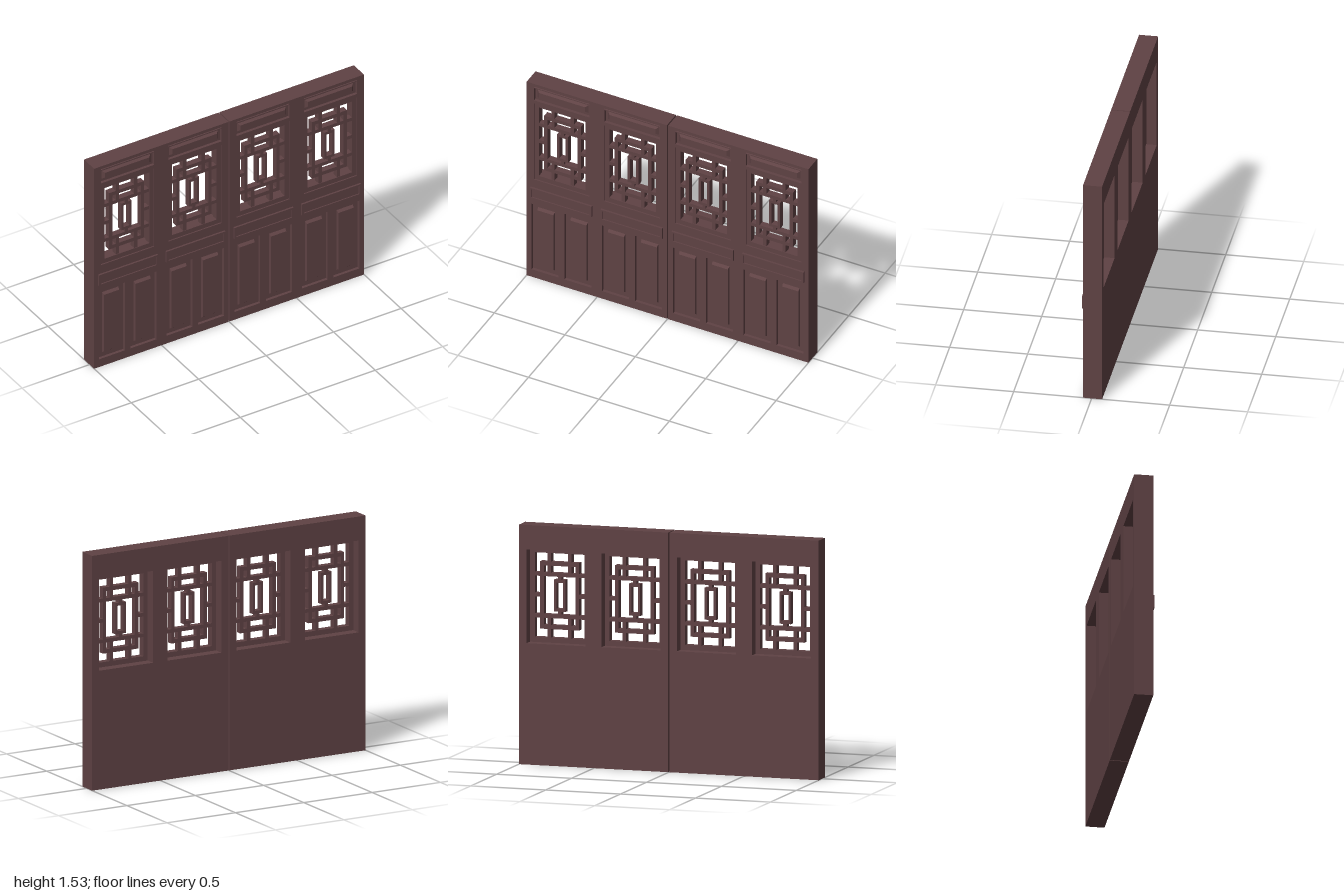
import * as THREE from 'three';

const wood = new THREE.MeshStandardMaterial({ color: 0x5f4244 });
const BACK = -0.067, FLOOR = 0.035, FRONT = 0.055, HEIGHT = 1.53;

function add(parent, name, geometry) {
  const mesh = new THREE.Mesh(geometry, wood);
  mesh.name = name;
  parent.add(mesh);
}

// Counter-clockwise rectangle outline
function trace(path, x0, x1, y0, y1) {
  path.moveTo(x0, y0).lineTo(x1, y0).lineTo(x1, y1).lineTo(x0, y1).closePath();
  return path;
}

// Plate with rectangular holes, each rectangle being [x0, x1, y0, y1]
function plate(parent, name, rect, holes, z0, z1) {
  const shape = trace(new THREE.Shape(), ...rect);
  holes.forEach(h => shape.holes.push(trace(new THREE.Path(), ...h)));
  const g = new THREE.ExtrudeGeometry(shape, { depth: z1 - z0, bevelEnabled: false });
  add(parent, name, g.translate(0, 0, z0));
}

// Block whose front face is drawn in by bx and by to give sloping edges
function block(parent, name, [x0, x1, y0, y1], z0, z1, bx = 0, by = 0) {
  const g = new THREE.BoxGeometry(x1 - x0, y1 - y0, z1 - z0);
  const p = g.attributes.position;
  for (let i = 0; i < p.count; i++) {
    if (p.getZ(i) > 0) {
      p.setX(i, p.getX(i) - Math.sign(p.getX(i)) * bx);
      p.setY(i, p.getY(i) - Math.sign(p.getY(i)) * by);
    }
  }
  g.computeVertexNormals();
  add(parent, name, g.translate((x0 + x1) / 2, (y0 + y1) / 2, (z0 + z1) / 2));
}

const around = (c, half, y0, y1) => [c - half, c + half, y0, y1];

// Window frame and its lattice of square bars
function makeWindow(c) {
  const group = new THREE.Group();
  group.name = 'latticeWindow';
  const z0 = 0, z1 = 0.042, t = 0.012, mid = 1.0775;
  plate(group, 'windowFrame', around(0, 0.197, 0.775, 1.374),
    [around(0, 0.166, 0.807, 1.348)], z0, 0.046);
  const bar = (name, x0, x1, y0, y1) => block(group, name, [x0, x1, y0, y1], z0, z1);

  // Rectangular ring
  plate(group, 'latticeRing', around(0, 0.13, 0.862, 1.293),
    [around(0, 0.106, 0.888, 1.267)], z0, z1);
  for (const s of [-1, 1]) {
    // Long cross bars
    const y = mid + s * 0.133;
    bar('crossBar', -0.166, 0.166, y - t, y + t);
    // Short posts from the frame to the cross bars
    for (const side of [-1, 1]) {
      const x = side * 0.068;
      const ya = mid + s * 0.121, yb = mid + s * 0.271;
      bar('shortPost', x - t, x + t, Math.min(ya, yb), Math.max(ya, yb));
    }
    // Side stubs
    const xa = s * 0.12, xb = s * 0.166;
    bar('sideStub', Math.min(xa, xb), Math.max(xa, xb), mid - t, mid + t);
    // Posts holding the centre box
    const yc = mid + s * 0.112;
    bar('centrePost', -t, t, yc - 0.02, yc + 0.02);
  }
  plate(group, 'centreBox', around(0, 0.038, mid - 0.102, mid + 0.102),
    [around(0, 0.022, mid - 0.083, mid + 0.083)], z0, z1);
  group.position.x = c;
  return group;
}

// One door: two bays side by side
function makeDoor(centre) {
  const door = new THREE.Group();
  door.name = 'door';
  const bays = [-0.25, 0.25];
  const outline = around(0, 0.498, 0, HEIGHT);
  const windows = bays.map(c => around(c, 0.197, 0.775, 1.374));
  const lower = bays.flatMap(c => [-0.117, 0.117].map(d => c + d));
  const recesses = [
    ...bays.map(c => around(c, 0.197, 1.4, 1.508)),
    ...lower.map(c => around(c, 0.096, 0.059, 0.578)),
  ];
  plate(door, 'backBoard', outline, windows, BACK, FLOOR);
  plate(door, 'frontBoard', outline, [...windows, ...recesses], FLOOR, FRONT);

  for (const c of bays) {
    door.add(makeWindow(c));
    // Top panel: sloped moulding above and a raised field
    block(door, 'topMoulding', around(c, 0.197, 1.488, 1.508), FLOOR, FRONT - 0.002, 0, 0.007);
    block(door, 'topPanel', around(c, 0.18, 1.418, 1.478), FLOOR, 0.05, 0.016, 0.012);
    // Raised middle panel with a rim
    plate(door, 'middleRim', around(c, 0.219, 0.626, 0.711),
      [around(c, 0.206, 0.638, 0.699)], FRONT, 0.068);
    block(door, 'middleField', around(c, 0.206, 0.638, 0.699), FRONT - 0.005, 0.06);
  }
  // Tall lower panels
  for (const c of lower) {
    block(door, 'lowerPanel', around(c, 0.06, 0.09, 0.55), FLOOR, 0.052, 0.003, 0.014);
  }
  door.position.x = centre;
  return door;
}

export function createModel() {
  const group = new THREE.Group();
  group.name = 'panelDoors';
  for (const s of [-1, 1]) group.add(makeDoor(s * 0.502));
  return group;
}
